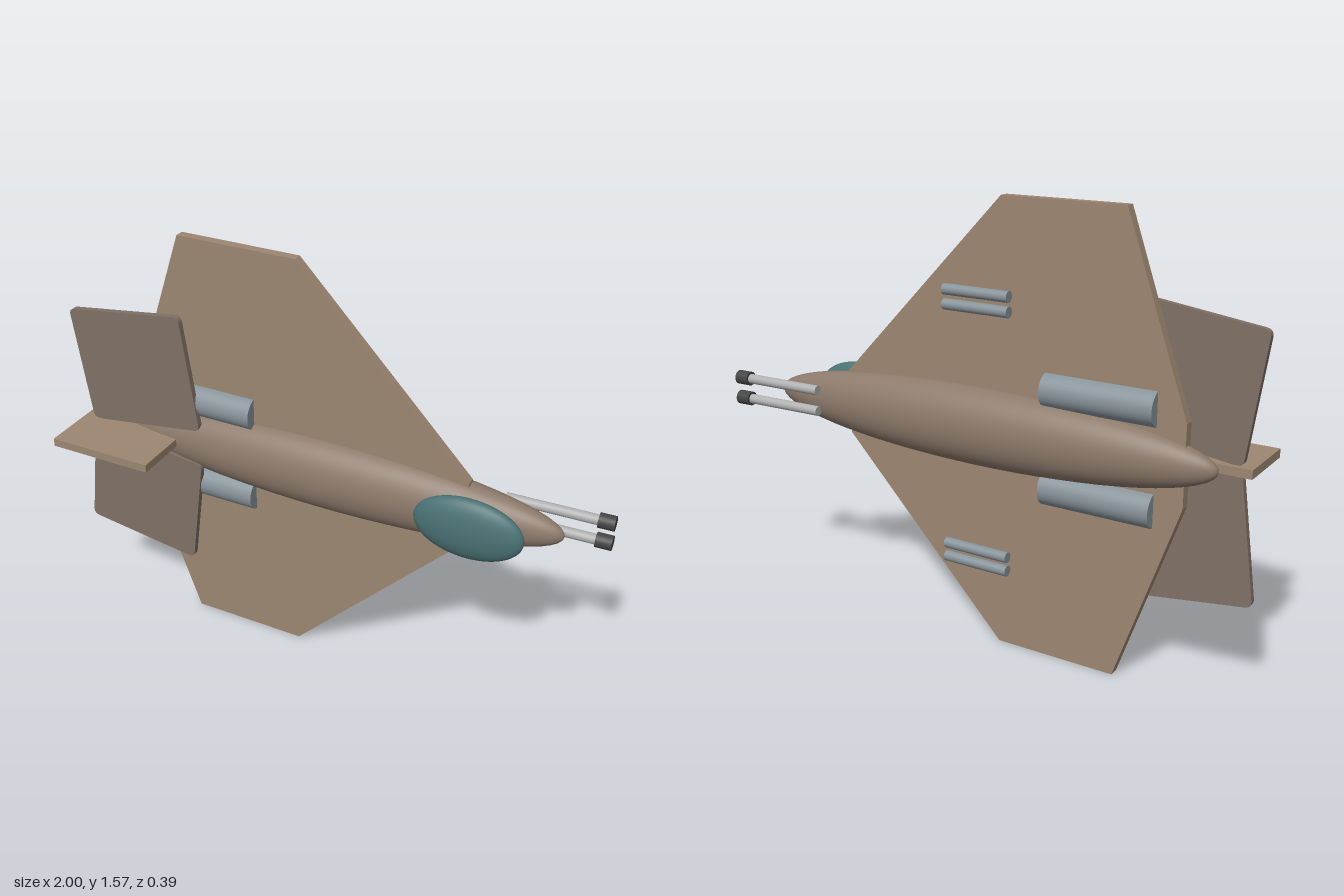
import * as THREE from 'three';

const MID = 0.785; // height of the axis of symmetry
const paint = (color) => new THREE.MeshStandardMaterial({ color });
const wingPaint = paint(0x9c8671);
const hullPaint = paint(0x8c7a6b);
const tailPaint = paint(0x7f7066);
const glass = paint(0x4a7275);
const steel = paint(0x87939a);
const barrelMetal = paint(0xb0b0b0);
const darkMetal = paint(0x444444);

export function createModel() {
  const model = new THREE.Group();

  function add(name, geometry, material, x, y, z) {
    const mesh = new THREE.Mesh(geometry, material);
    mesh.name = name;
    mesh.position.set(x, y, z);
    model.add(mesh);
    return mesh;
  }
  const ellipsoid = (rx, ry, rz) => new THREE.SphereGeometry(1, 48, 32).rotateZ(-Math.PI / 2).scale(rx, ry, rz);
  const rod = (radius, length) => new THREE.CylinderGeometry(radius, radius, length, 28).rotateZ(-Math.PI / 2);
  const plate = (shape, depth) =>
    new THREE.ExtrudeGeometry(shape, { depth, bevelEnabled: false, curveSegments: 6 }).translate(0, 0, -depth / 2);

  // Fuselage and canopy
  add('fuselage', ellipsoid(0.8725, 0.14, 0.103), hullPaint, -0.0125, MID, -0.08);
  add('canopy', ellipsoid(0.193, 0.115, 0.048), glass, 0.5625, MID, 0.018);

  // Wing: one flat plate, mirrored about the axis
  const half = [[0.53, 0.12], [-0.11, 0.785], [-0.555, 0.785], [-0.78, 0.14]];
  const outline = [...half, ...half.map(([x, y]) => [x, -y]).reverse()];
  const wingShape = new THREE.Shape(outline.map(([x, y]) => new THREE.Vector2(x, y)));
  add('wing', plate(wingShape, 0.034), wingPaint, 0, MID, -0.075);

  // Tailplane panel with rounded corners
  const w = 0.234, h = 0.22, r = 0.025;
  const tailShape = new THREE.Shape();
  tailShape.moveTo(-w + r, -h);
  tailShape.lineTo(w - r, -h);
  tailShape.quadraticCurveTo(w, -h, w, -h + r);
  tailShape.lineTo(w, h - r);
  tailShape.quadraticCurveTo(w, h, w - r, h);
  tailShape.lineTo(-w + r, h);
  tailShape.quadraticCurveTo(-w, h, -w, h - r);
  tailShape.lineTo(-w, -h + r);
  tailShape.quadraticCurveTo(-w, -h, -w + r, -h);
  const tailGeometry = plate(tailShape, 0.022);

  // Upright fin
  add('fin', new THREE.BoxGeometry(0.4, 0.03, 0.242), wingPaint, -0.78, MID, 0.076);

  for (const side of [1, -1]) {
    const tail = add('tailplane', tailGeometry, tailPaint, -0.74, MID + side * 0.26, -0.0155);
    tail.rotation.z = side * 0.137;

    add('engine', rod(0.062, 0.4), steel, -0.48, MID + side * 0.169, -0.073);

    // Pair of small rods under each wing
    for (const y of [0.425, 0.475]) add('wingRod', rod(0.019, 0.25), steel, -0.055, MID + side * y, -0.154);

    // Nose gun: slightly tilted barrel with a dark muzzle
    const gun = new THREE.Group();
    gun.name = 'gun';
    gun.position.set(0.63, MID + side * 0.039, -0.157);
    gun.rotation.y = 0.04;
    const barrel = new THREE.Mesh(rod(0.018, 0.33), barrelMetal);
    barrel.name = 'barrel';
    barrel.position.x = 0.165;
    const muzzle = new THREE.Mesh(rod(0.026, 0.055), darkMetal);
    muzzle.name = 'muzzle';
    muzzle.position.x = 0.342;
    gun.add(barrel, muzzle);
    model.add(gun);
  }
  return model;
}
